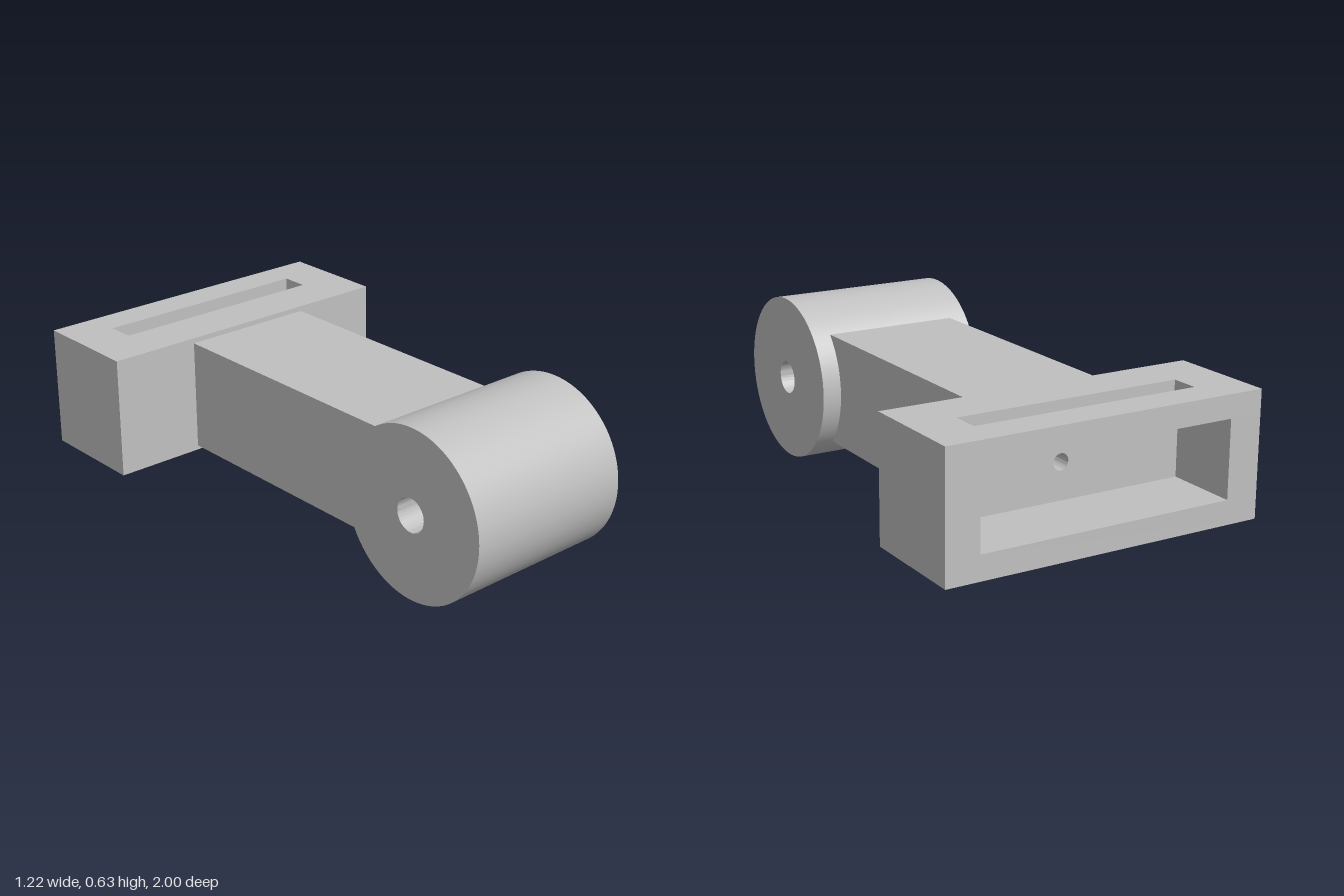
import * as THREE from 'three';
import { toCreasedNormals } from 'three/addons/utils/BufferGeometryUtils.js';

const grey = new THREE.MeshStandardMaterial({ color: 0xc0c0c0 });
grey.name = 'grey';

const AXIS_Y = 0.317, AXLE_Z = 0.685;

// Closed outline through a few corner points
const outline = (points) => new THREE.Shape(points.map(([x, y]) => new THREE.Vector2(x, y)));
const rect = (x, y0, y1) => outline([[-x, y0], [x, y0], [x, y1], [-x, y1]]);

function disc(x, y, radius) {
  const shape = new THREE.Shape();
  shape.absarc(x, y, radius, 0, Math.PI * 2, false);
  return shape;
}

// Extrude with smooth curves and sharp edges
function extrude(shape, depth, hole) {
  if (hole) shape.holes.push(hole);
  const geometry = new THREE.ExtrudeGeometry(shape, { depth, bevelEnabled: false, curveSegments: 64 });
  return toCreasedNormals(geometry, 0.5);
}

export function createModel() {
  const model = new THREE.Group();
  model.name = 'pivotBracket';

  const add = (name, geometry, parent = model) => {
    const mesh = new THREE.Mesh(geometry, grey);
    mesh.name = name;
    parent.add(mesh);
  };
  const bore = () => disc(0, AXIS_Y, 0.03);

  // Pivot barrel lying along x, with its axle hole
  add('pivotBarrel', extrude(disc(0, 0, 0.315), 0.67, disc(0, 0, 0.063))
    .translate(0, 0, -0.335).rotateY(Math.PI / 2).translate(0, AXIS_Y, AXLE_Z));

  // Arm from the housing into the barrel, bored lengthwise
  add('arm', extrude(rect(0.262, 0.107, 0.53), 1.03, bore()).translate(0, 0, -0.58));

  // Housing: open at the back, slotted on top
  const housing = new THREE.Group();
  housing.name = 'housing';
  model.add(housing);

  const channel = outline([
    [-0.61, 0.09], [0.61, 0.09], [0.61, 0.465], [0.485, 0.465],
    [0.485, 0.18], [-0.485, 0.18], [-0.485, 0.465], [-0.61, 0.465],
  ]);
  add('housingFloorAndSides', extrude(channel, 0.28).translate(0, 0, -1), housing);
  add('housingFrontWall', extrude(rect(0.61, 0.09, 0.465), 0.14, bore())
    .translate(0, 0, -0.72), housing);
  add('housingSlottedTop', extrude(rect(0.61, 0.58, 1), 0.085, rect(0.43, 0.765, 0.87))
    .rotateX(-Math.PI / 2).translate(0, 0.465, 0), housing);

  return model;
}
